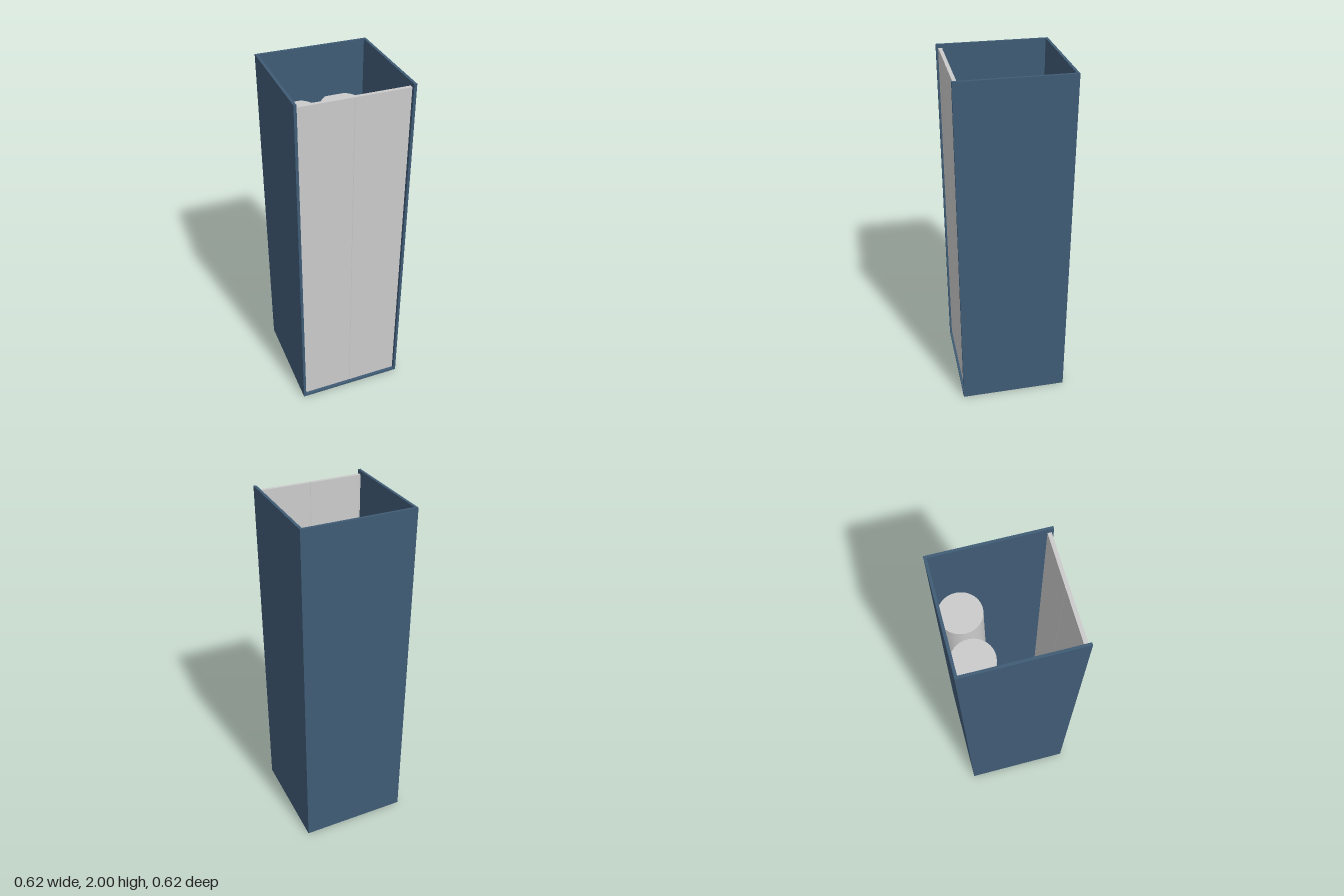
import * as THREE from 'three';

const SIZE = 0.625, HEIGHT = 2, WALL = 0.015;

export function createModel() {
  const group = new THREE.Group();
  const blue = new THREE.MeshStandardMaterial({ color: 0x405c76 });
  const grey = new THREE.MeshStandardMaterial({ color: 0xcccccc });

  const add = (name, geometry, material, x, y, z) => {
    const mesh = new THREE.Mesh(geometry, material);
    mesh.name = name;
    mesh.position.set(x, y, z);
    group.add(mesh);
  };

  // Cabinet shell: open at the top and front, seen from above as a U
  const h = SIZE / 2, i = h - WALL;
  const outline = new THREE.Shape([
    [-h, -h], [-i, -h], [-i, i], [i, i], [i, -h], [h, -h], [h, h], [-h, h],
  ].map(([x, y]) => new THREE.Vector2(x, y)));
  const walls = new THREE.ExtrudeGeometry(outline, { depth: HEIGHT, bevelEnabled: false });
  walls.rotateX(-Math.PI / 2);
  add('walls', walls, blue, 0, 0, 0);
  add('floor', new THREE.BoxGeometry(2 * i, WALL, SIZE - WALL), blue, 0, WALL / 2, WALL / 2);

  // Folding door: two leaves set slightly back, with hinge rods
  const doorHeight = 1.96, doorY = 1, doorZ = 0.29;
  const left = -0.293, right = 0.294, leaf = right / 2;
  add('doorLeafRight', new THREE.BoxGeometry(-left, doorHeight, 0.02), grey, left / 2, doorY, doorZ);
  add('doorLeafLeft', new THREE.BoxGeometry(right, doorHeight, 0.02), grey, leaf, doorY, doorZ);
  for (const x of [left, 0]) {
    add('doorHinge', new THREE.CylinderGeometry(0.0115, 0.0115, doorHeight, 24), grey, x, doorY, doorZ);
  }

  // Pair of tall cylinders standing against the back wall
  const top = 1.7;
  for (const x of [-0.13, 0.13]) {
    add('cylinder', new THREE.CylinderGeometry(0.114, 0.114, top - WALL, 64), grey, x, (top + WALL) / 2, -0.198);
  }
  return group;
}
